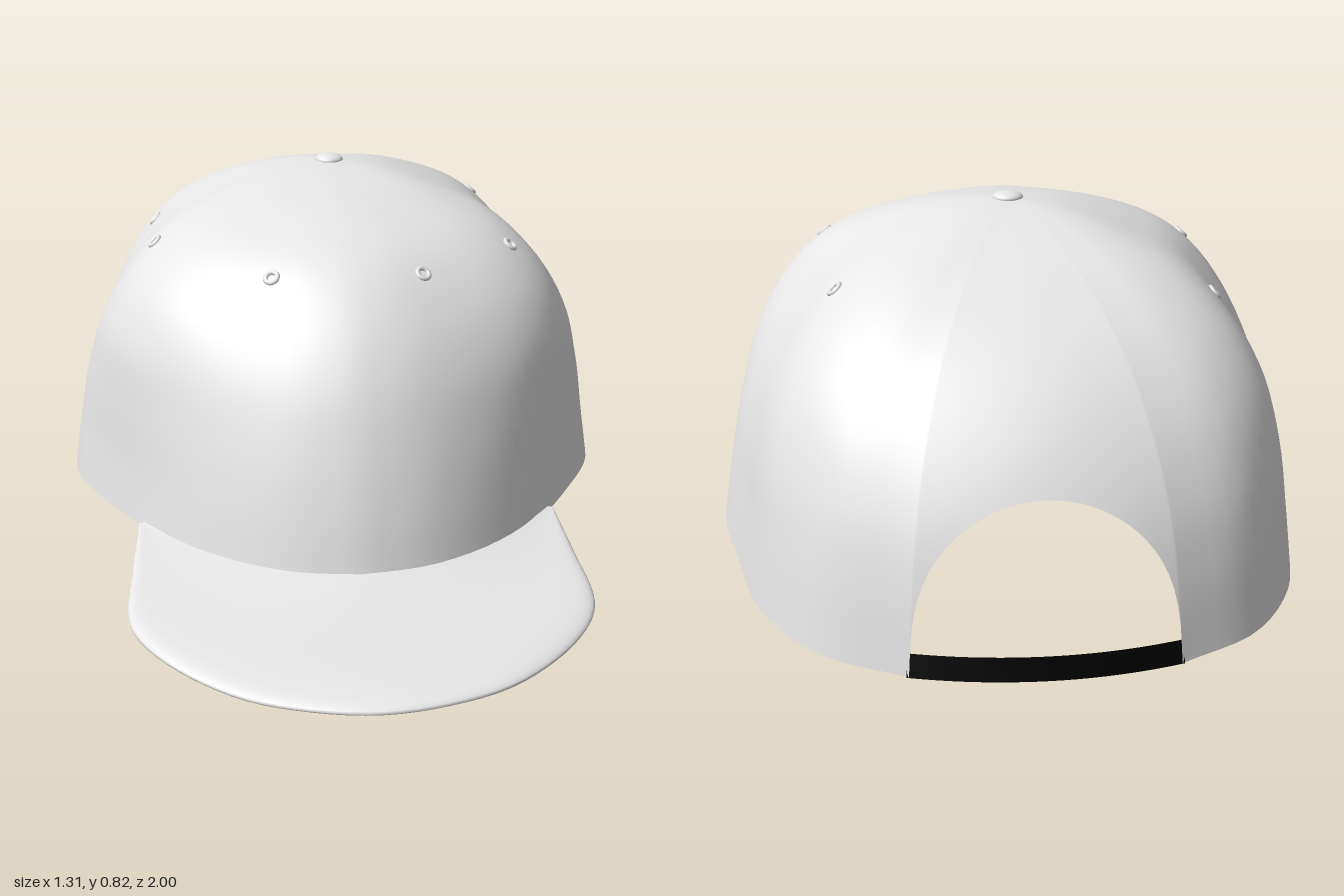
import * as THREE from 'three';

const CZ = -0.25; // crown axis
const NOTCH = 0.27; // half width of the back opening

// Smooth curve through [x, z] points on the ground plan
const plan = (pts) => new THREE.CatmullRomCurve3(pts.map(([x, z]) => new THREE.Vector3(x, 0, z)));

// Smooth surface from columns of points, optionally joined end to end
function loft(columns, closed) {
  const n = columns[0].length, m = columns.length, index = [];
  for (let c = 0; c < (closed ? m : m - 1); c++) {
    for (let r = 0; r < n - 1; r++) {
      const a = c * n + r, b = ((c + 1) % m) * n + r;
      index.push(a, b, a + 1, b, b + 1, a + 1);
    }
  }
  const g = new THREE.BufferGeometry().setFromPoints(columns.flat());
  g.setIndex(index);
  g.computeVertexNormals();
  return g;
}

const baseY = (z) => 0.065 + 0.035 * z;
const backZ = (x) => -1 + 0.04 * (x / NOTCH) ** 2;

// Crown heights and how far each still reaches at the front, side and back
const PROFILE = [
  [0.07, 1, 1, 1], [0.2, 0.97, 0.965, 0.97], [0.34, 0.92, 0.92, 0.915],
  [0.48, 0.85, 0.84, 0.81], [0.6, 0.75, 0.717, 0.665], [0.7, 0.61, 0.57, 0.47],
  [0.76, 0.41, 0.385, 0.3], [0.8, 0.15, 0.19, 0.13], [0.815, 0, 0, 0],
];

// Curve up the crown from a point on its lower edge to the top
function meridian(x, z) {
  const dz = z - CZ, c = dz / Math.hypot(x, dz);
  const front = c > 0 ? c * c : 0, back = c < 0 ? c * c : 0, side = 1 - c * c;
  // Fuller on the diagonals towards the top
  const bulge = (c > 0 ? 1.1 : 0.6) * c * c * side * side;
  return new THREE.CatmullRomCurve3(PROFILE.map(([y, f, s, b], i) => {
    const rise = Math.min(1, (y - 0.07) / 0.5);
    const k = (front * f + side * s + back * b) * (1 + bulge * rise * rise);
    return new THREE.Vector3(x * k, i ? y : baseY(z), CZ + dz * k);
  }));
}

// One crown column, starting at a given height
function crownColumn(x, z, startY) {
  const curve = meridian(x, z), steps = 36;
  let lo = 0, hi = 1;
  for (let i = 0; i < 24; i++) {
    const mid = (lo + hi) / 2;
    if (curve.getPoint(mid).y < startY) lo = mid; else hi = mid;
  }
  const t0 = startY <= baseY(z) ? 0 : lo;
  return Array.from({ length: steps + 1 }, (_, i) => curve.getPoint(t0 + (1 - t0) * i / steps));
}

function crownGeometry() {
  const outline = plan([[0, 0.57], [0.09, 0.558], [0.18, 0.53], [0.31, 0.45], [0.43, 0.33],
    [0.56, 0.12], [0.64, -0.05], [0.657, -0.2], [0.615, -0.45], [0.56, -0.68],
    [0.44, -0.86], [NOTCH, -0.96]]);
  const half = [];
  for (let i = 0; i <= 44; i++) {
    const p = outline.getPointAt(i / 44);
    half.push(crownColumn(p.x, p.z, 0));
  }
  // Arched opening at the back
  for (let i = 1; i <= 16; i++) {
    const phi = (1 - i / 16) * Math.PI / 2, x = NOTCH * Math.sin(phi), z = backZ(x);
    half.push(crownColumn(x, z, baseY(z) + (0.375 - baseY(z)) * Math.cos(phi) ** 0.65));
  }
  const mirrored = half.slice(1, -1).reverse()
    .map((col) => col.map((p) => new THREE.Vector3(-p.x, p.y, p.z)));
  return loft([...half, ...mirrored], true);
}

function brimGeometry() {
  const both = (pts) => plan([...pts.map(([x, z]) => [-x, z]), ...pts.slice(0, -1).reverse()]);
  const inner = both([[0.475, 0.27], [0.425, 0.33], [0.305, 0.445], [0.175, 0.522], [0, 0.562]]);
  const outer = both([[0.49, 0.27], [0.5, 0.45], [0.5, 0.66], [0.43, 0.79], [0.28, 0.925],
    [0.14, 0.98], [0, 1]]);
  const columns = [], n = 30;
  for (let i = 0; i <= 60; i++) {
    const a = inner.getPointAt(i / 60), b = outer.getPointAt(i / 60);
    const col = [];
    // Underside outwards, round the rim, then the top back to the crown
    for (let j = 0; j <= n; j++) {
      const angle = Math.PI * j / n, k = Math.sin(angle);
      const p = a.clone().lerp(b, k), arch = Math.cos(p.x * Math.PI);
      const thick = 0.018 * Math.sqrt(Math.max(0, 1 - k ** 10));
      p.y = 0.02 + 0.07 * (1 - p.z) + arch * (0.012 * (1 - k * k) + 0.014 * (1 - k) ** 4);
      p.y += j > n / 2 ? thick : -thick * Math.min(1, 3 * k);
      col.push(p);
    }
    columns.push(col);
  }
  return loft(columns, false);
}

export function createModel() {
  const fabric = new THREE.MeshStandardMaterial({ color: 0xe7e7e7, side: THREE.DoubleSide });
  fabric.name = 'light grey fabric';
  const black = new THREE.MeshStandardMaterial({ color: 0x000000, side: THREE.DoubleSide });
  black.name = 'black strap';

  const cap = new THREE.Group();
  cap.name = 'cap';
  const add = (name, geometry, material) => {
    const mesh = new THREE.Mesh(geometry, material);
    mesh.name = name;
    cap.add(mesh);
    return mesh;
  };

  const crown = add('crown', crownGeometry(), fabric);
  add('brim', brimGeometry(), fabric);

  // Button on top
  const button = add('button', new THREE.SphereGeometry(0.034, 20, 12), fabric);
  button.scale.y = 0.4;
  button.position.set(0, 0.813, CZ);

  // Strap closing the back opening, leaning slightly inwards
  const strap = [];
  for (let i = 0; i <= 24; i++) {
    const x = (1 - i / 12) * (NOTCH + 0.005);
    strap.push([new THREE.Vector3(x, 0.03, backZ(x)), new THREE.Vector3(x, 0.078, backZ(x) + 0.01)]);
  }
  add('strap', loft(strap, false), black);

  // Eyelets, set on the nearest point of the crown
  const pos = crown.geometry.attributes.position, nor = crown.geometry.attributes.normal;
  const ring = new THREE.TorusGeometry(0.014, 0.006, 8, 16);
  for (const [x, z] of [[0.17, 0.25], [-0.17, 0.25], [0.39, 0.04], [-0.43, -0.05],
    [0.39, -0.44], [-0.44, -0.41]]) {
    let best = 0, least = Infinity;
    for (let i = 0; i < pos.count; i++) {
      const d = Math.hypot(pos.getX(i) - x, pos.getZ(i) - z);
      if (d < least) { least = d; best = i; }
    }
    const eyelet = add('eyelet', ring, fabric);
    eyelet.position.fromBufferAttribute(pos, best);
    eyelet.quaternion.setFromUnitVectors(new THREE.Vector3(0, 0, 1),
      new THREE.Vector3().fromBufferAttribute(nor, best).normalize());
  }
  return cap;
}
